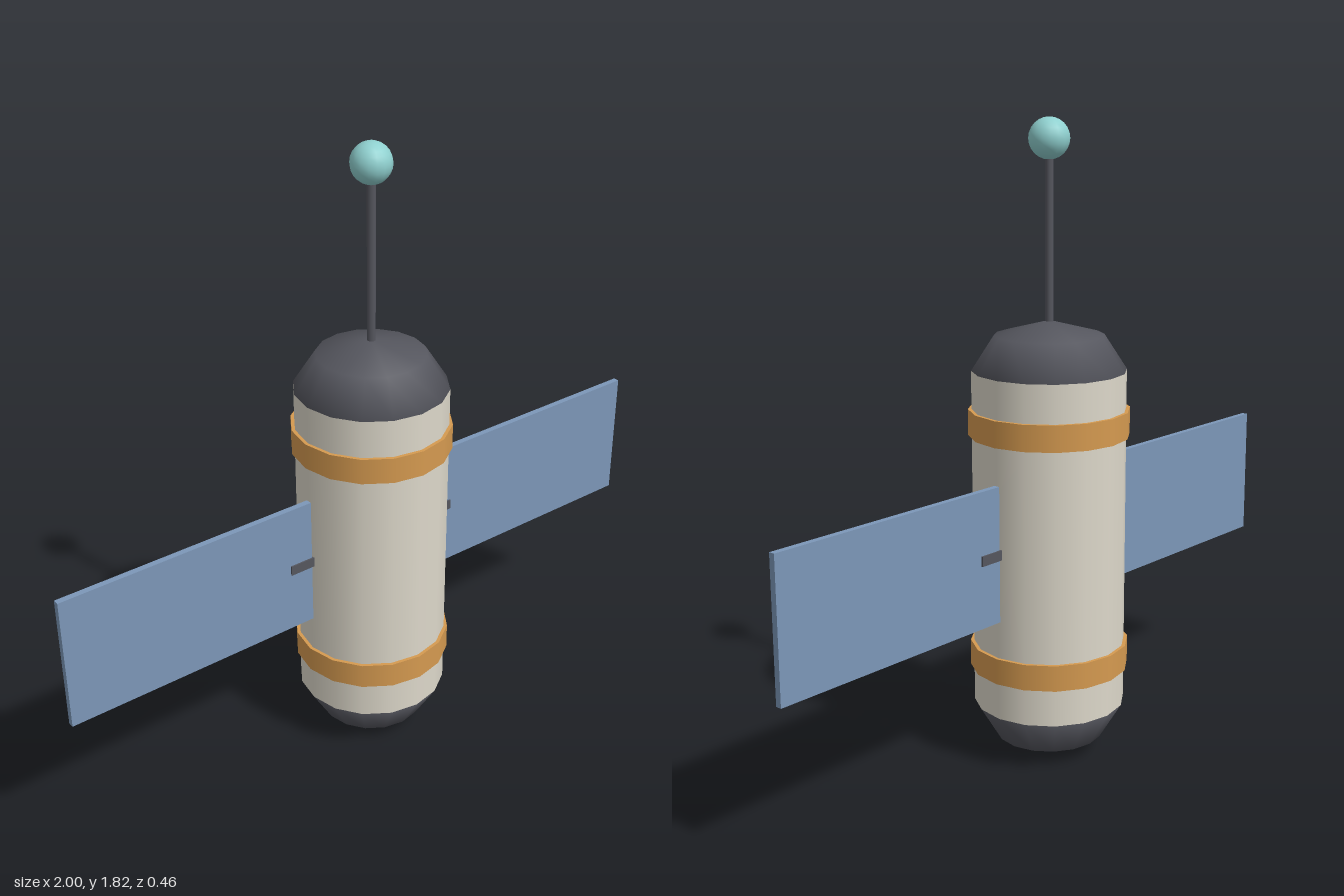
import * as THREE from 'three';

const mat = (name, color) => {
  const m = new THREE.MeshStandardMaterial({ color });
  m.name = name;
  return m;
};

export function createModel() {
  const group = new THREE.Group();
  const hull = mat('warm white hull', 0xddd8ca);
  const dark = mat('dark grey', 0x55565e);
  const gold = mat('gold', 0xd59a50);
  const blue = mat('panel blue', 0x7c97b8);
  const aqua = mat('aqua', 0x8fd0cf);
  const SIDES = 16, R = 0.218;

  const add = (name, geometry, material, x, y) => {
    const mesh = new THREE.Mesh(geometry, material);
    mesh.name = name;
    mesh.position.set(x, y, 0);
    group.add(mesh);
    return mesh;
  };

  // Cylindrical hull between the two end caps
  add('hull', new THREE.CylinderGeometry(R, R, 0.975, SIDES), hull, 0, 0.6375);

  // Pointed end caps with soft, dome-like shading
  for (const [name, y, height, start] of [['noseCap', 1.125, 0.14, 0], ['tailCap', 0.15, 0.15, Math.PI / 2]]) {
    const cap = new THREE.SphereGeometry(R, SIDES, 1, 0, Math.PI * 2, start, Math.PI / 2);
    cap.rotateY(Math.PI / 2);
    cap.scale(1, height / R, 1);
    // The single-ring dome is a cone whose rim normals lean outward
    add(name, cap, dark, 0, y);
  }

  // Gold bands
  add('lowerBand', new THREE.CylinderGeometry(0.228, 0.228, 0.075, SIDES), gold, 0, 0.296);
  add('upperBand', new THREE.CylinderGeometry(0.228, 0.228, 0.075, SIDES), gold, 0, 0.979);

  // Antenna mast and ball
  add('antennaMast', new THREE.CylinderGeometry(0.012, 0.012, 0.5, 8), dark, 0, 1.48);
  add('antennaBall', new THREE.SphereGeometry(0.057, 16, 12), aqua, 0, 1.758);

  // Mirrored solar panels with their short mounting struts
  for (const [side, s] of [['left', 1], ['right', -1]]) {
    add(side + 'Panel', new THREE.BoxGeometry(0.78, 0.39, 0.018), blue, s * 0.61, 0.638);
    add(side + 'Strut', new THREE.BoxGeometry(0.15, 0.029, 0.027), dark, s * 0.218, 0.638);
  }
  return group;
}
